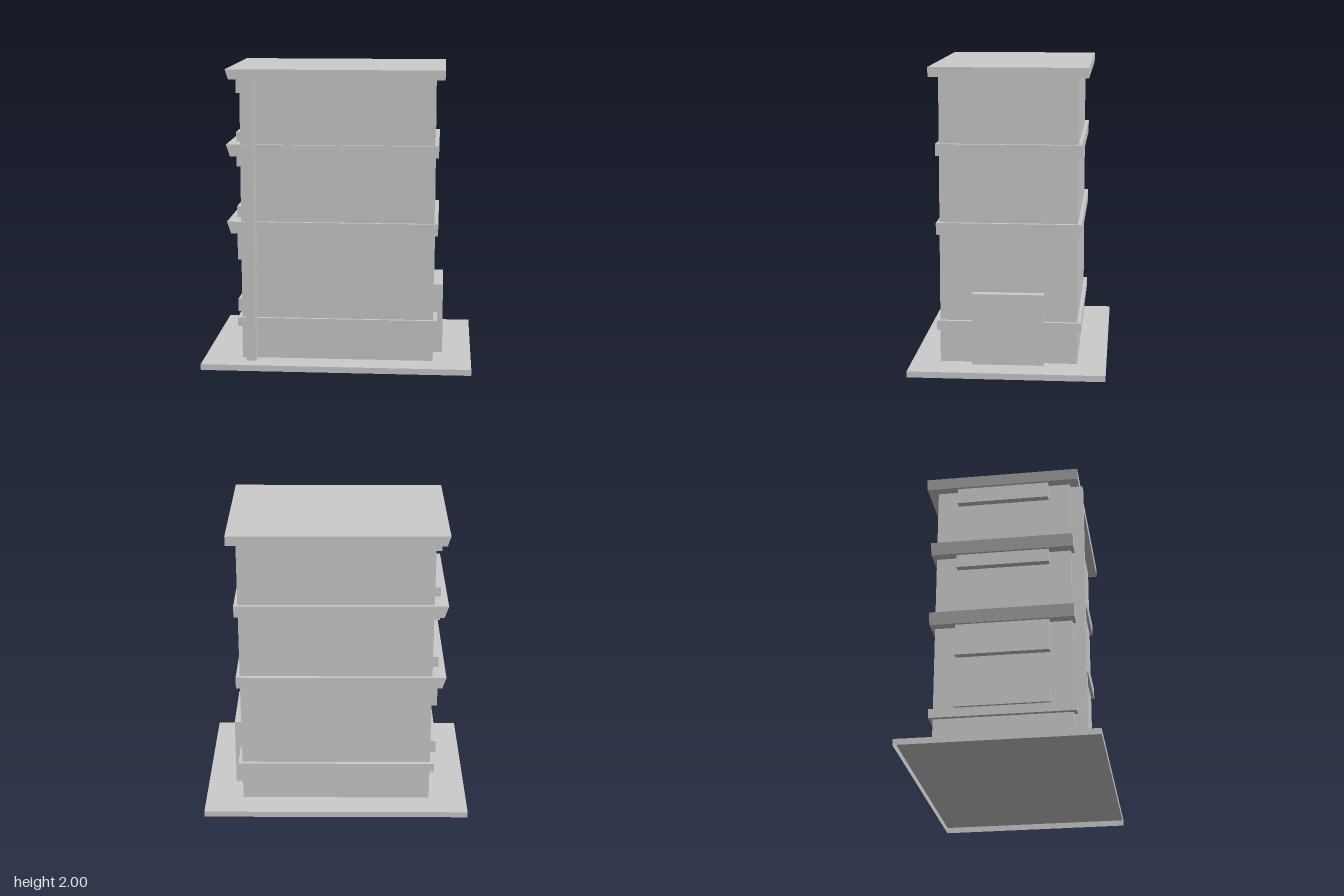
import * as THREE from 'three';

export function createModel() {
  const model = new THREE.Group();
  const material = new THREE.MeshStandardMaterial({
    color: 0xcccccc, flatShading: true, side: THREE.DoubleSide,
  });

  // Box between two corners; taper pulls the lower edge of its -x side inward.
  function block(name, [x0, x1], [y0, y1], [z0, z1], taper = 0) {
    const geometry = new THREE.BoxGeometry(x1 - x0, y1 - y0, z1 - z0);
    const p = geometry.attributes.position;
    for (let i = 0; i < p.count; i++) {
      if (p.getX(i) < 0 && p.getY(i) < 0) p.setX(i, p.getX(i) + taper);
    }
    geometry.computeVertexNormals();
    const mesh = new THREE.Mesh(geometry, material);
    mesh.name = name;
    mesh.position.set((x0 + x1) / 2, (y0 + y1) / 2, (z0 + z1) / 2);
    model.add(mesh);
    return mesh;
  }

  // Ground slab: a shell with no bottom face (the fourth group of six indices)
  const slab = block('baseSlab', [-0.902, 0.902], [0, 0.04], [-0.645, 0.645]).geometry;
  const faces = Array.from(slab.index.array);
  faces.splice(18, 6);
  slab.setIndex(faces);
  slab.clearGroups();

  // Main tower and flat roof
  block('tower', [-0.645, 0.645], [0.04, 1.936], [-0.452, 0.455]);
  block('roof', [-0.732, 0.708], [1.935, 2], [-0.517, 0.515], 0.022);

  // Bands around each storey; the upper two have a sloped ledge
  block('lowerBand', [-0.673, 0.671], [0.262, 0.323], [-0.477, 0.476]);
  for (const y of [0.902, 1.421]) {
    block('storeyBand', [-0.737, 0.671], [y, y + 0.079], [-0.477, 0.476], 0.027);
  }

  // Raised panels on the -x wall
  for (const range of [[0.323, 0.411], [0.687, 1.058], [1.33, 1.565], [1.825, 1.936]]) {
    block('wallPanel', [-0.692, -0.64], range, [-0.31, 0.31]);
  }

  // Corner pillar on the front and entrance block on the +x wall
  block('cornerPillar', [-0.608, -0.543], [0.04, 1.936], [0.45, 0.537]);
  block('entrance', [0.64, 0.708], [0.04, 0.517], [-0.235, 0.238]);

  return model;
}
